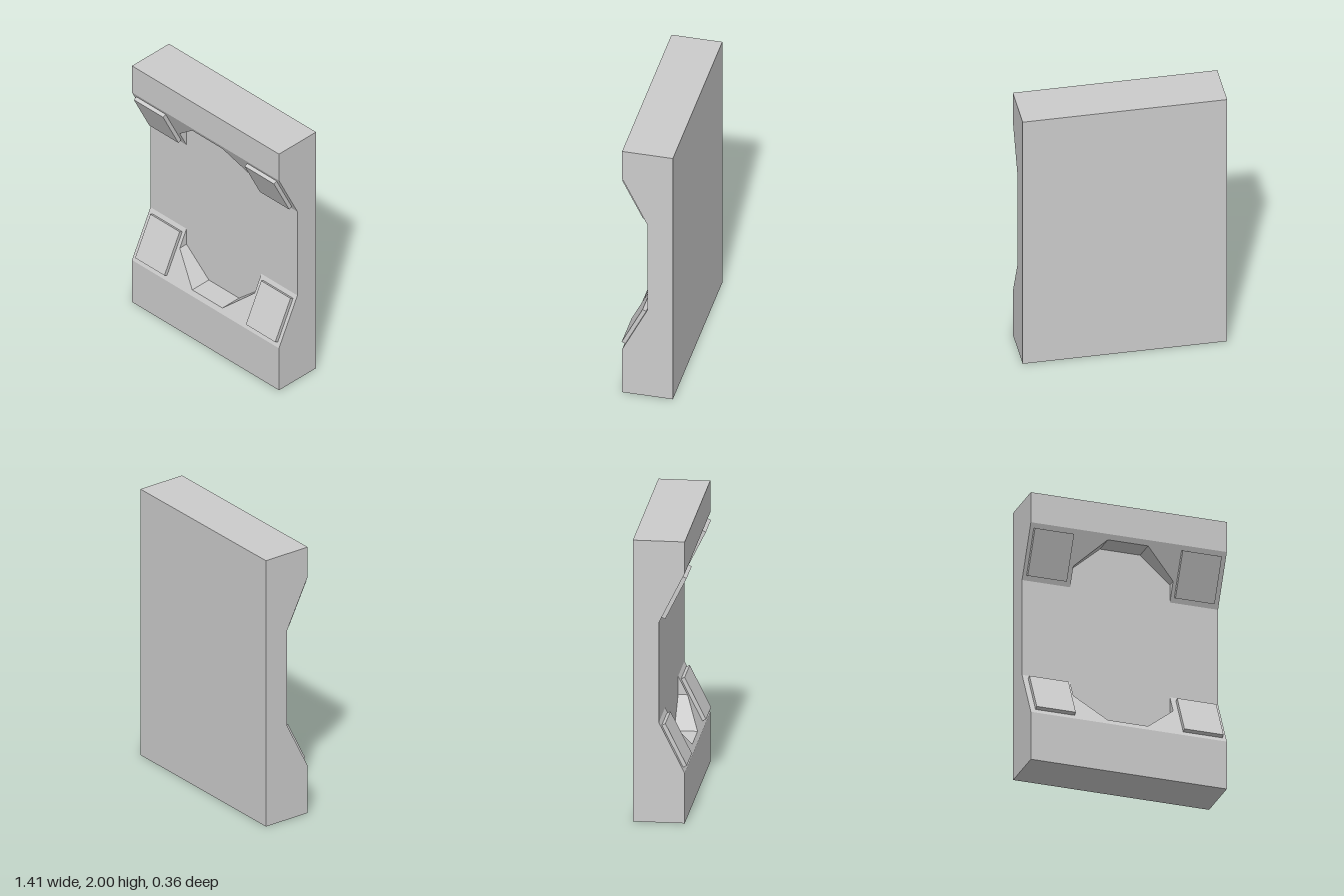
import * as THREE from 'three';

const material = new THREE.MeshStandardMaterial({ color: 0xcccccc, flatShading: true });

const HALF_W = 0.707, BACK = -0.182, FLOOR = -0.004, FRONT = 0.173;
const RAMP_LOW = 0.355, RAMP_HIGH = 0.71;   // the lower ramp's foot and top edge
const MID_Y = 1.065;                        // the ramps mirror about this height
const TOP_LEDGE = 2 * MID_Y - RAMP_LOW;
const TILT = Math.atan2(FRONT - FLOOR, RAMP_HIGH - RAMP_LOW);

function addMesh(parent, name, geometry) {
  const mesh = new THREE.Mesh(geometry, material);
  mesh.name = name;
  parent.add(mesh);
  return mesh;
}

// Full-width block between two heights and two depths
function addBlock(parent, name, y0, y1, z0, z1) {
  const mesh = addMesh(parent, name, new THREE.BoxGeometry(2 * HALF_W, y1 - y0, z1 - z0));
  mesh.position.set(0, (y0 + y1) / 2, (z0 + z1) / 2);
}

// Sloping ramp with half of the octagonal pocket cut out of it
function rampGeometry() {
  const right = [[HALF_W, RAMP_LOW], [HALF_W, RAMP_HIGH], [0.36, RAMP_HIGH], [0.36, 0.58], [0.145, 0.39]];
  const left = right.map(([x, y]) => [-x, y]).reverse();
  const shape = new THREE.Shape([...right, ...left].map(([x, y]) => new THREE.Vector2(x, y)));
  const geometry = new THREE.ExtrudeGeometry(shape, { depth: 1, bevelEnabled: false });
  // Pull the front face onto the slope
  const p = geometry.attributes.position;
  for (let i = 0; i < p.count; i++) {
    const rise = (RAMP_HIGH - p.getY(i)) / (RAMP_HIGH - RAMP_LOW);
    p.setZ(i, FLOOR + p.getZ(i) * rise * (FRONT - FLOOR));
  }
  geometry.computeVertexNormals();
  return geometry;
}

// One ramp with its two raised pads
function createRamp(name) {
  const ramp = new THREE.Group();
  ramp.name = name;
  addMesh(ramp, 'rampSurface', rampGeometry());
  for (const x of [-0.527, 0.539]) {
    const geometry = new THREE.BoxGeometry(0.282, 0.328, 0.028).translate(0, 0, 0.014);
    const pad = addMesh(ramp, x < 0 ? 'rightPad' : 'leftPad', geometry);
    pad.position.set(x, 0.5325, 0.084);
    pad.rotation.x = -TILT;
  }
  return ramp;
}

export function createModel() {
  const model = new THREE.Group();
  model.name = 'recessedPanel';

  // Backing slab and the two thick ends
  addBlock(model, 'backSlab', RAMP_LOW, TOP_LEDGE, BACK, FLOOR);
  addBlock(model, 'bottomLedge', 0, RAMP_LOW, BACK, FRONT);
  addBlock(model, 'topLedge', TOP_LEDGE, 2, BACK, FRONT);

  // The upper ramp is the lower one turned half way round
  model.add(createRamp('lowerRamp'));
  const upper = createRamp('upperRamp');
  upper.rotation.z = Math.PI;
  upper.position.y = 2 * MID_Y;
  model.add(upper);

  return model;
}
